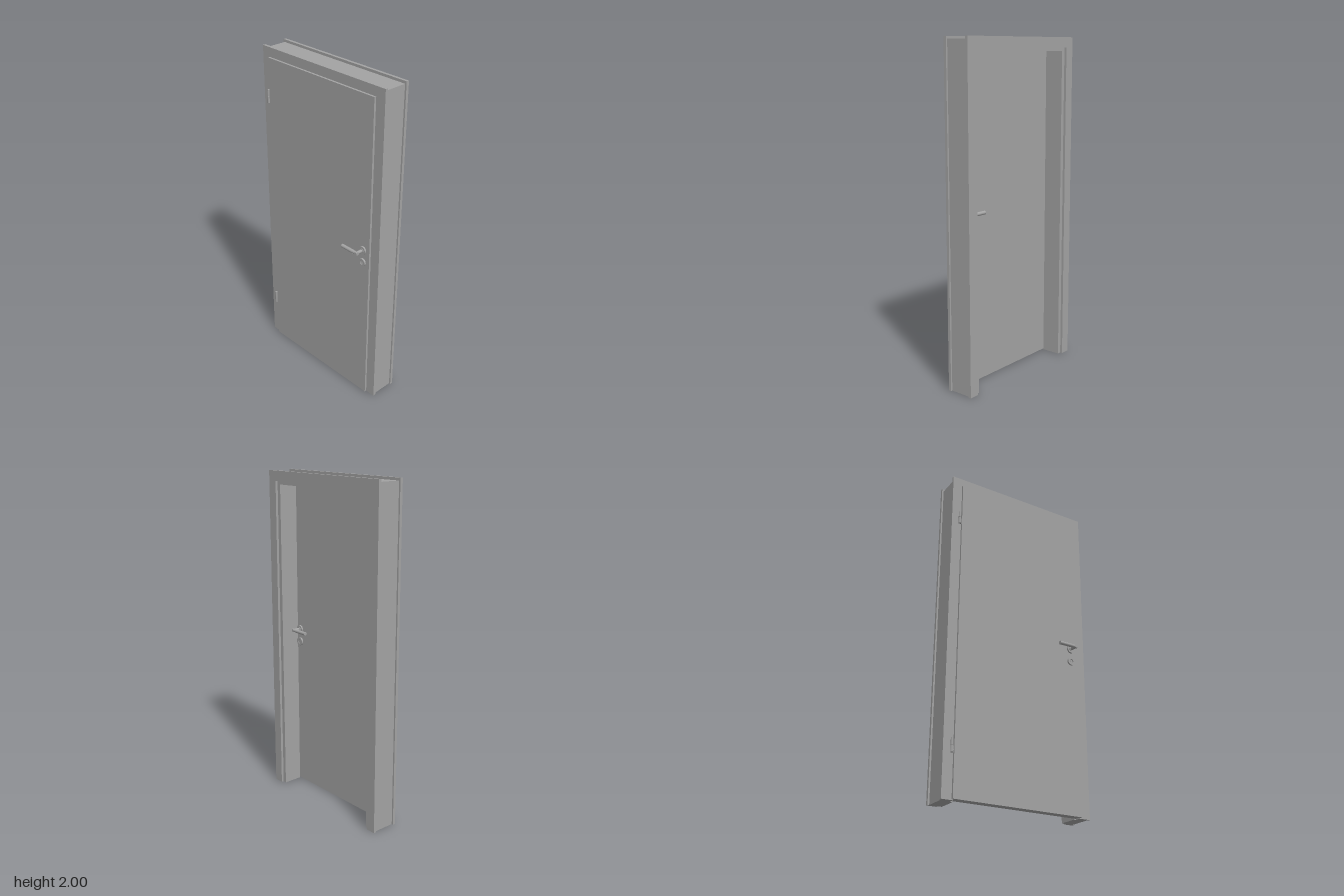
import * as THREE from 'three';

const grey = new THREE.MeshStandardMaterial({ color: 0xa3a3a3 });
grey.name = 'grey';

function add(parent, name, geometry, x = 0, y = 0, z = 0) {
  const mesh = new THREE.Mesh(geometry, grey);
  mesh.name = name;
  mesh.position.set(x, y, z);
  parent.add(mesh);
  return mesh;
}

// Upside-down U with open foot, extruded from z0 to z1
function portal(parent, name, outerX, outerY, innerX, innerY, z0, z1) {
  const shape = new THREE.Shape([
    [-outerX, 0], [-innerX, 0], [-innerX, innerY], [innerX, innerY],
    [innerX, 0], [outerX, 0], [outerX, outerY], [-outerX, outerY],
  ].map(([x, y]) => new THREE.Vector2(x, y)));
  const geometry = new THREE.ExtrudeGeometry(shape, { depth: z1 - z0, bevelEnabled: false });
  return add(parent, name, geometry, 0, 0, z0);
}

// Box given by its limits
function slab(parent, name, x0, x1, y0, y1, z0, z1) {
  return add(parent, name, new THREE.BoxGeometry(x1 - x0, y1 - y0, z1 - z0),
    (x0 + x1) / 2, (y0 + y1) / 2, (z0 + z1) / 2);
}

// Cylinder along z, from z0 to z1
function rodZ(parent, name, r, x, y, z0, z1) {
  const geometry = new THREE.CylinderGeometry(r, r, z1 - z0, 32).rotateX(Math.PI / 2);
  return add(parent, name, geometry, x, y, (z0 + z1) / 2);
}

// Cylinder along x, from x0 to x1
function rodX(parent, name, r, x0, x1, y, z) {
  const geometry = new THREE.CylinderGeometry(r, r, x1 - x0, 32).rotateZ(Math.PI / 2);
  return add(parent, name, geometry, (x0 + x1) / 2, y, z);
}

// Flat ring around a keyhole plate
function ring(parent, name, outer, inner, x, y, z0, depth) {
  const shape = new THREE.Shape().absarc(0, 0, outer, 0, Math.PI * 2, false);
  shape.holes.push(new THREE.Path().absarc(0, 0, inner, 0, Math.PI * 2, true));
  const geometry = new THREE.ExtrudeGeometry(shape, { depth, bevelEnabled: false, curveSegments: 24 });
  return add(parent, name, geometry, x, y, z0);
}

// Lever, rosette and lock plate, built outwards from z = 0
function createHandle(name) {
  const group = new THREE.Group();
  group.name = name;
  const x = 0.361, y = 1.025, lockY = 0.945;
  rodZ(group, 'rosette', 0.025, x, y, 0, 0.01);
  rodZ(group, 'rosetteCollar', 0.014, x, y, 0.01, 0.014);
  rodZ(group, 'leverNeck', 0.0095, x, y, 0.01, 0.061);
  rodX(group, 'leverElbow', 0.0095, 0.335, 0.371, y, 0.0515);
  rodX(group, 'leverGrip', 0.0108, 0.248, 0.336, y, 0.0515);
  ring(group, 'lockRosette', 0.025, 0.012, x, lockY, 0, 0.01);
  rodZ(group, 'lockCylinder', 0.009, x, lockY, 0, 0.008);
  slab(group, 'keySlot', x - 0.0015, x + 0.0015, lockY - 0.006, lockY + 0.006, 0.007, 0.009);
  return group;
}

// Two-knuckle hinge with a leaf plate
function createHinge(y) {
  const group = new THREE.Group();
  group.name = 'hinge';
  for (const offset of [-0.0205, 0.0205]) {
    add(group, 'hingeKnuckle', new THREE.CylinderGeometry(0.0075, 0.0075, 0.039, 20),
      -0.423, y + offset, 0.056);
  }
  add(group, 'hingePin', new THREE.CylinderGeometry(0.005, 0.005, 0.078, 16), -0.423, y, 0.056);
  slab(group, 'hingePlate', -0.422, -0.405, y - 0.0395, y - 0.001, 0.049, 0.053);
  slab(group, 'hingeStrap', -0.425, -0.421, y + 0.001, y + 0.0395, 0.044, 0.054);
  return group;
}

export function createModel() {
  const model = new THREE.Group();
  model.name = 'door';

  // Frame: lining with a rebate for the leaf, and a casing on each side
  const frame = new THREE.Group();
  frame.name = 'frame';
  portal(frame, 'lining', 0.46, 1.985, 0.385, 1.92, -0.11, 0.008);
  portal(frame, 'rebate', 0.46, 1.985, 0.4, 1.935, 0.008, 0.03);
  portal(frame, 'frontCasing', 0.47, 2, 0.4, 1.935, 0.028, 0.045);
  portal(frame, 'backCasing', 0.47, 2, 0.409, 1.94, -0.125, -0.108);
  model.add(frame);

  // Leaf: thick core in the rebate and an overlapping front lip
  const leaf = new THREE.Group();
  leaf.name = 'leaf';
  slab(leaf, 'leafCore', -0.396, 0.396, 0.005, 1.931, 0.01, 0.049);
  slab(leaf, 'leafLip', -0.41, 0.41, 0.005, 1.945, 0.047, 0.06);
  model.add(leaf);

  // Handles on both faces; the back one is turned round and mirrored in x
  const frontHandle = createHandle('frontHandle');
  frontHandle.position.z = 0.06;
  frontHandle.position.z += 0.0025;
  frontHandle.position.z = 0.063;
  frontHandle.position.z = 0.06;
  const backHandle = createHandle('backHandle');
  backHandle.scale.z = -1;
  backHandle.position.z = 0.01;
  model.add(frontHandle, backHandle);

  // Hinges
  for (const y of [0.29, 1.71]) model.add(createHinge(y));

  return model;
}
